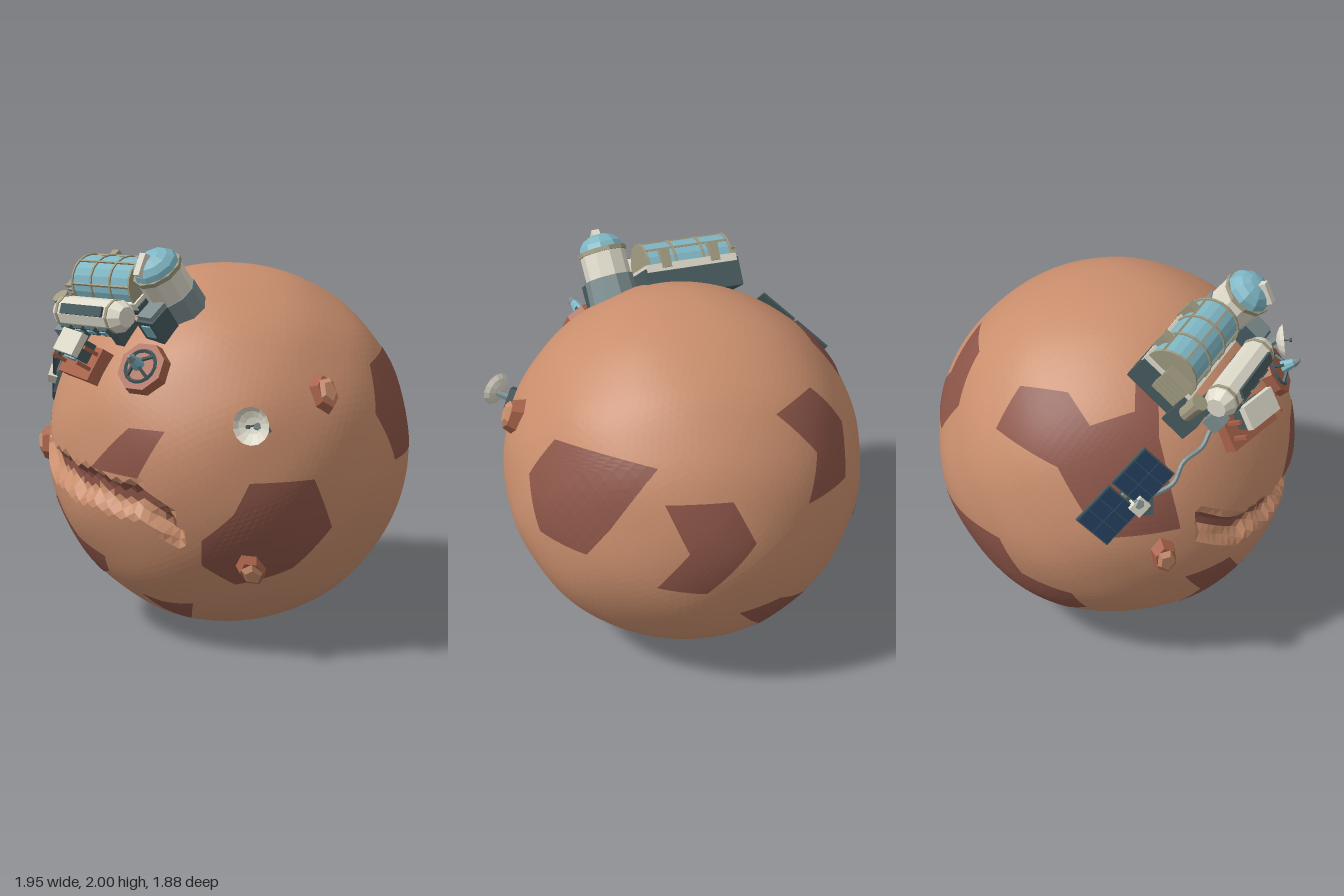
import * as THREE from 'three';

const V = (x, y, z) => new THREE.Vector3(x, y, z);
const C = V(0.04, 0.942, 0), RAD = 0.932;
const mat = (name, color) => Object.assign(new THREE.MeshStandardMaterial({ color }), { name });
const M = {
  soil: mat('soil', 0xc98e6d), rust: mat('dark soil', 0x8c5548), pad: mat('pad clay', 0xa9634a),
  cream: mat('cream', 0xdedaca), slate: mat('slate', 0x475a5e), grey: mat('grey', 0x7c8d8f),
  sky: mat('blue glass', 0x7fb6c4), navy: mat('solar navy', 0x25405f), khaki: mat('khaki', 0xa09a80),
};
M.cream.side = THREE.DoubleSide;

// Flat-shaded mesh helpers
function add(parent, name, geo, m, x = 0, y = 0, z = 0, rx = 0, ry = 0, rz = 0) {
  const g = geo.index ? geo.toNonIndexed() : geo;
  g.computeVertexNormals();
  const mesh = new THREE.Mesh(g, m);
  mesh.name = name;
  mesh.position.set(x, y, z);
  mesh.rotation.set(rx, ry, rz);
  parent.add(mesh);
  return mesh;
}
const box = (w, h, d) => new THREE.BoxGeometry(w, h, d);
const cyl = (rt, rb, h, n = 10) => new THREE.CylinderGeometry(rt, rb, h, n);
const half = (r, len) => new THREE.CylinderGeometry(r, r, len, 10, 1, false, 0, Math.PI);
const named = (parent, name) => {
  const g = new THREE.Group();
  g.name = name;
  parent.add(g);
  return g;
};

// Canyon centre line (x, y) and planet radius in a direction
const CANYON = [[-0.54, 1.04], [-0.42, 0.94], [-0.33, 0.9], [-0.2, 0.9], [-0.08, 0.86], [0.06, 0.87],
  [0.2, 0.83], [0.34, 0.84], [0.42, 0.77], [0.5, 0.7]];
function canyonOffset(d) {
  const x = d.x * RAD + C.x, y = d.y * RAD + C.y;
  if (d.z < 0) return 9;
  for (let i = 1; i < CANYON.length; i++) {
    const [a, b] = [CANYON[i - 1], CANYON[i]];
    if (x >= a[0] && x < b[0]) return y - a[1] - (b[1] - a[1]) * (x - a[0]) / (b[0] - a[0]);
  }
  return 9;
}
function radius(d) {
  const n = Math.sin(5 * d.x + 4 * d.y + 1) * Math.sin(5 * d.z - 3 * d.y)
    + 0.6 * Math.sin(11 * d.y - 6 * d.x + 4 * d.z) * Math.cos(7 * d.z + 3 * d.x);
  const c = Math.abs(canyonOffset(d));
  return RAD + 0.006 * n - 0.06 * THREE.MathUtils.clamp((0.085 - c) / 0.04, 0, 1);
}

function planet(root) {
  const geo = new THREE.IcosahedronGeometry(1, 26), p = geo.attributes.position;
  const v = V(0, 0, 0), soil = [], wall = [];
  for (let i = 0; i < p.count; i += 3) {
    const mid = V(0, 0, 0), tri = [];
    for (let k = 0; k < 3; k++) {
      v.fromBufferAttribute(p, i + k).normalize();
      mid.add(v);
      v.multiplyScalar(radius(v));
      tri.push(v.x, v.y, v.z);
    }
    const off = canyonOffset(mid.normalize());
    (off > -0.012 && off < 0.08 ? wall : soil).push(...tri);
  }
  for (const [name, list, m] of [['planet', soil, M.soil], ['canyonWall', wall, M.rust]]) {
    const g = new THREE.BufferGeometry();
    g.setAttribute('position', new THREE.Float32BufferAttribute(list, 3));
    add(root, name, g, m, C.x, C.y, C.z);
  }
}

// Dark soil patches: outlines [right, up] seen along a direction, projected on the planet
function patch(root, toward, pts) {
  const T = V(...toward).normalize();
  const R = T.y > 0.9 ? V(1, 0, 0) : V(0, 1, 0).cross(T).normalize(), U = T.clone().cross(R);
  const flat = pts.map(([a, b]) => new THREE.Vector2(a, b));
  const dirs = flat.map(q => {
    const s = q.clone().divideScalar(RAD).clampLength(0, 0.995);
    return V(0, 0, 0).addScaledVector(R, s.x).addScaledVector(U, s.y)
      .addScaledVector(T, Math.sqrt(1 - s.lengthSq()));
  });
  const out = [], N = 10;
  for (let [a, b, c] of THREE.ShapeUtils.triangulateShape(flat, [])) {
    if (flat[b].clone().sub(flat[a]).cross(flat[c].clone().sub(flat[a])) < 0) [b, c] = [c, b];
    const at = (i, j) => {
      const d = V(0, 0, 0).addScaledVector(dirs[a], N - i - j).addScaledVector(dirs[b], i)
        .addScaledVector(dirs[c], j).normalize();
      return d.multiplyScalar(radius(d) + 0.004).toArray();
    };
    for (let i = 0; i < N; i++) for (let j = 0; j < N - i; j++) {
      out.push(...at(i, j), ...at(i + 1, j), ...at(i, j + 1));
      if (i + j < N - 1) out.push(...at(i + 1, j), ...at(i + 1, j + 1), ...at(i, j + 1));
    }
  }
  const g = new THREE.BufferGeometry();
  g.setAttribute('position', new THREE.Float32BufferAttribute(out, 3));
  add(root, 'soilPatch', g, M.rust, C.x, C.y, C.z);
}
const front = pts => pts.map(([x, y]) => [x - C.x, y - C.y]);
const side = pts => pts.map(([z, y]) => [-z, y - C.y]);
const top = pts => pts.map(([x, z]) => [x - C.x, -z]);

// Group standing on the planet: local y points outward, local z downhill
function site(root, name, x, y, z, spin = 0) {
  const g = named(root, name), n = V(x, y, z).sub(C).normalize();
  const X = V(0, 1, 0).cross(n).normalize();
  g.quaternion.setFromRotationMatrix(new THREE.Matrix4().makeBasis(X, n, X.clone().cross(n)));
  g.rotateY(spin);
  g.position.copy(C).addScaledVector(n, radius(n));
  return g;
}

function habitat(root) {
  const base = named(root, 'habitat');
  base.position.copy(C);
  base.rotation.x = 0.6435;
  const g = named(base, 'modules');
  g.rotation.z = 0.06;
  // Greenhouse on its plinth
  add(g, 'plinth', box(0.52, 0.15, 0.28), M.slate, -0.18, 0.91, -0.1);
  add(g, 'plinthBand', box(0.5, 0.04, 0.29), M.cream, -0.18, 0.985, -0.1);
  add(g, 'greenhouse', half(0.13, 0.46), M.sky, -0.18, 1.005, -0.1, 0, 0, Math.PI / 2);
  for (let i = 0; i < 4; i++)
    add(g, 'hoop', half(0.137, 0.013), M.khaki, -0.41 + i * 0.1533, 1.005, -0.1, 0, 0, Math.PI / 2);
  for (const a of [0.6, 1.57, 2.5])
    add(g, 'rail', box(0.47, 0.01, 0.01), M.khaki, -0.18, 1.005 + 0.132 * Math.sin(a), -0.1 + 0.132 * Math.cos(a));
  for (const x of [-0.31, -0.04]) add(g, 'rearHatch', box(0.05, 0.1, 0.05), M.khaki, x, 1.03, -0.23);
  // Living module
  add(g, 'livingModule', cyl(0.08, 0.08, 0.44), M.cream, -0.12, 1.035, 0.16, 0, 0, Math.PI / 2);
  for (const s of [-1, 1]) {
    add(g, 'moduleEnd', cyl(0.05, 0.08, 0.05), M.cream, -0.12 + s * 0.245, 1.035, 0.16, 0, 0, -s * Math.PI / 2);
    add(g, 'moduleRing', cyl(0.084, 0.084, 0.018), M.khaki, -0.12 + s * 0.2, 1.035, 0.16, 0, 0, Math.PI / 2);
    add(g, 'moduleFoot', box(0.06, 0.13, 0.13), M.slate, -0.12 + s * 0.17, 0.945, 0.16);
  }
  add(g, 'roofPanel', box(0.33, 0.02, 0.05), M.slate, -0.11, 1.1, 0.205, 0.6);
  for (let i = 0; i < 4; i++) {
    add(g, 'windowFrame', box(0.07, 0.055, 0.03), M.slate, -0.27 + i * 0.1, 1.0, 0.232, 0.3);
    add(g, 'window', box(0.045, 0.03, 0.008), M.sky, -0.27 + i * 0.1, 1.0, 0.25, 0.3);
  }
  // Storage tank and radiator on the left end
  add(g, 'tankBase', box(0.11, 0.12, 0.14), M.slate, -0.42, 0.88, 0.09);
  add(g, 'tank', cyl(0.038, 0.038, 0.12), M.khaki, -0.46, 1.0, 0.08);
  add(g, 'tankCap', cyl(0.043, 0.043, 0.02), M.khaki, -0.46, 1.05, 0.08);
  add(g, 'valveBox', box(0.07, 0.08, 0.08), M.grey, -0.36, 0.95, 0.21);
  for (let i = 0; i < 5; i++)
    add(g, 'radiatorFin', box(0.07, 0.014, 0.14), M.khaki, -0.45, 0.95 + i * 0.027, -0.06);
  // Domed silo with airlock
  const s = named(base, 'silo');
  s.position.set(0.165, 0, -0.075);
  add(s, 'siloBase', cyl(0.125, 0.13, 0.13), M.grey, 0, 0.94, 0);
  add(s, 'siloWall', cyl(0.118, 0.118, 0.14), M.cream, 0, 1.07, 0);
  add(s, 'siloRim', cyl(0.127, 0.127, 0.022), M.khaki, 0, 1.145, 0);
  add(s, 'dome', new THREE.SphereGeometry(0.12, 10, 4, 0, Math.PI * 2, 0, Math.PI / 2), M.sky, 0, 1.15, 0).scale.y = 0.75;
  add(s, 'domeHatch', box(0.04, 0.04, 0.11), M.cream, 0, 1.225, 0.06, 0.5);
  add(s, 'airlock', box(0.12, 0.13, 0.12), M.slate, 0.02, 0.95, 0.17);
  add(s, 'airlockRoof', box(0.1, 0.025, 0.11), M.grey, 0.02, 1.025, 0.16);
  add(s, 'airlockDoor', box(0.06, 0.07, 0.008), M.sky, 0.02, 0.96, 0.233);
}

function outposts(root) {
  // Garage on a clay slab
  const g = site(root, 'garage', -0.15, 1.43, 0.77);
  add(g, 'slab', box(0.34, 0.07, 0.17), M.pad, 0, 0.01, 0.01);
  add(g, 'garageBody', box(0.18, 0.08, 0.1), M.slate, 0, 0.085, -0.03);
  add(g, 'garageDoor', box(0.12, 0.05, 0.008), M.sky, 0, 0.08, 0.024);
  add(g, 'garageRoof', box(0.22, 0.035, 0.12), M.cream, 0, 0.135, -0.04);
  for (const x of [-0.14, 0.14]) for (const z of [-0.04, 0.04])
    add(g, 'post', box(0.018, 0.09, 0.018), M.pad, x, 0.08, z);
  // Landing pad with lander
  const l = site(root, 'landingPad', 0.27, 1.47, 0.8);
  add(l, 'padBase', cyl(0.125, 0.135, 0.08, 8), M.pad, 0, 0.005, 0, 0, Math.PI / 8);
  add(l, 'padRing', new THREE.TorusGeometry(0.08, 0.01, 4, 16), M.slate, 0, 0.048, 0, Math.PI / 2);
  add(l, 'landerBody', cyl(0.02, 0.035, 0.07, 8), M.sky, 0, 0.105, 0);
  add(l, 'landerNose', cyl(0.008, 0.024, 0.03, 8), M.grey, 0, 0.15, 0);
  for (let i = 0; i < 4; i++) {
    const a = i * Math.PI / 2 + 0.78, leg = named(l, 'landerLeg');
    leg.rotation.y = a;
    add(leg, 'strut', box(0.07, 0.012, 0.014), M.slate, 0.05, 0.068, 0, 0, 0, -0.6);
  }
  // Dish antenna
  const d = site(root, 'dishMount', 0.77, 1.21, 0.53);
  add(d, 'dishBase', box(0.11, 0.05, 0.11), M.slate, 0, 0.01, 0, 0, 0.5);
  add(d, 'dishPost', cyl(0.018, 0.025, 0.08, 6), M.grey, 0, 0.06, 0);
  const dish = named(root, 'dish');
  dish.position.set(0.815, 1.235, 0.58);
  dish.quaternion.setFromUnitVectors(V(0, 1, 0), V(0.42, 0.12, 0.9).normalize());
  const bowl = [[0.001, 0], [0.04, 0.008], [0.07, 0.022], [0.09, 0.042]].map(q => new THREE.Vector2(...q));
  add(dish, 'bowl', new THREE.LatheGeometry(bowl, 14), M.cream);
  add(dish, 'feed', cyl(0.004, 0.004, 0.08, 5), M.slate, 0, 0.04, 0);
  add(dish, 'feedTip', cyl(0.011, 0.011, 0.014, 6), M.slate, 0, 0.08, 0);
  // Solar array
  const m = site(root, 'solarMount', -0.72, 1.25, 0.48);
  add(m, 'mountBase', box(0.15, 0.06, 0.17), M.slate, 0, 0.01, 0);
  add(m, 'mountPost', cyl(0.025, 0.035, 0.1, 6), M.grey, 0, 0.06, 0);
  const s = named(root, 'solarArray'), n = V(-0.72, 0.25, 0.65).normalize();
  const a = V(0.63, 0.63, 0.45);
  a.addScaledVector(n, -a.dot(n)).normalize();
  s.quaternion.setFromRotationMatrix(new THREE.Matrix4().makeBasis(a, n, a.clone().cross(n)));
  s.position.set(-0.795, 1.305, 0.455);
  add(s, 'boom', box(0.3, 0.02, 0.025), M.grey, 0, -0.02, 0);
  add(s, 'hub', box(0.08, 0.06, 0.07), M.cream, 0.01, 0.0, 0.08);
  for (const k of [-1, 1]) {
    add(s, 'panelFrame', box(0.225, 0.014, 0.21), M.slate, k * 0.12, -0.004, 0);
    for (let i = 0; i < 3; i++) for (let j = 0; j < 2; j++)
      add(s, 'solarCell', box(0.068, 0.008, 0.096), M.navy, k * 0.12 + (i - 1) * 0.072, 0.005, (j - 0.5) * 0.1);
  }
  // Supply pipe to the array
  const path = [[-0.36, 1.47], [-0.43, 1.42], [-0.53, 1.38], [-0.6, 1.3], [-0.68, 1.26]].map(([x, y]) => {
    const q = V(x - C.x, y - C.y, 0);
    q.z = Math.sqrt(0.955 ** 2 - q.lengthSq());
    return q.add(C);
  });
  add(root, 'supplyPipe', new THREE.TubeGeometry(new THREE.CatmullRomCurve3(path), 20, 0.013, 6), M.grey);
  // Boulders with a pale broken face
  for (const [x, y, z, spin] of [[-0.67, 0.91, 0.6, 0.15], [0.72, 0.5, 0.5, 0.55], [0.88, 1.34, 0.18, 0.1]]) {
    const r = site(root, 'boulder', x, y, z, spin);
    r.scale.set(0.66, 1, 1);
    add(r, 'boulderBase', cyl(0.08, 0.115, 0.09, 6), M.pad, 0, 0.005, 0);
    add(r, 'boulderFace', cyl(0.05, 0.075, 0.022, 5), M.soil, 0, 0.06, 0, 0.08);
  }
}

export function createModel() {
  const root = new THREE.Group();
  root.name = 'planetOutpost';
  planet(root);
  const F = [0, 0, 1], S = [1, 0, 0], T = [0, 1, 0], BL = [-0.665, 0.34, -0.665], BR = [0.665, -0.34, -0.665];
  patch(root, F, front([[0.27, 1.18], [0.45, 1.18], [0.34, 0.95], [0.05, 0.96], [0.15, 1.06]]));
  patch(root, F, front([[-0.56, 0.7], [-0.35, 0.72], [-0.2, 0.54], [0, 0.48], [-0.05, 0.38], [-0.35, 0.29], [-0.4, 0.35], [-0.38, 0.47]]));
  patch(root, F, front([[0.1, 0.28], [0.2, 0.25], [0.36, 0.26], [0.2, 0.12], [0.12, 0.18]]));
  patch(root, S, side([[0.57, 0.95], [0.29, 0.95], [0.16, 0.69], [0.3, 0.49], [0.5, 0.4], [0.66, 0.52], [0.7, 0.66], [0.62, 0.8]]));
  patch(root, S, side([[-0.22, 1.42], [-0.67, 1.43], [-0.63, 1.12], [-0.55, 0.95], [-0.28, 0.95], [-0.14, 1.2]]));
  patch(root, T, top([[-0.72, -0.27], [-0.59, -0.2], [-0.58, 0.05], [-0.65, 0.2], [-0.52, 0.37], [-0.35, 0.29], [-0.38, 0.42],
    [-0.53, 0.5], [-0.6, 0.6], [-0.61, 0.66], [-0.83, 0.34], [-0.79, 0.1]]));
  patch(root, BL, [[-0.34, 0.38], [-0.07, 0.36], [0.03, 0.1], [-0.11, -0.14], [-0.42, -0.08], [-0.27, 0.11]]);
  patch(root, BL, [[0.01, -0.42], [0.5, -0.35], [0.55, -0.52], [0.72, -0.49], [0.67, -0.62], [0.42, -0.8], [0.26, -0.82], [0.13, -0.6]]);
  patch(root, BR, [[0.23, 0.6], [0.52, 0.55], [0.63, 0.33], [0.43, 0.13], [0.21, 0.2], [0.36, 0.38]]);
  patch(root, BR, [[0.55, -0.12], [0.71, -0.16], [0.77, -0.33], [0.67, -0.54], [0.43, -0.57], [0.58, -0.39]]);
  habitat(root);
  outposts(root);
  return root;
}
